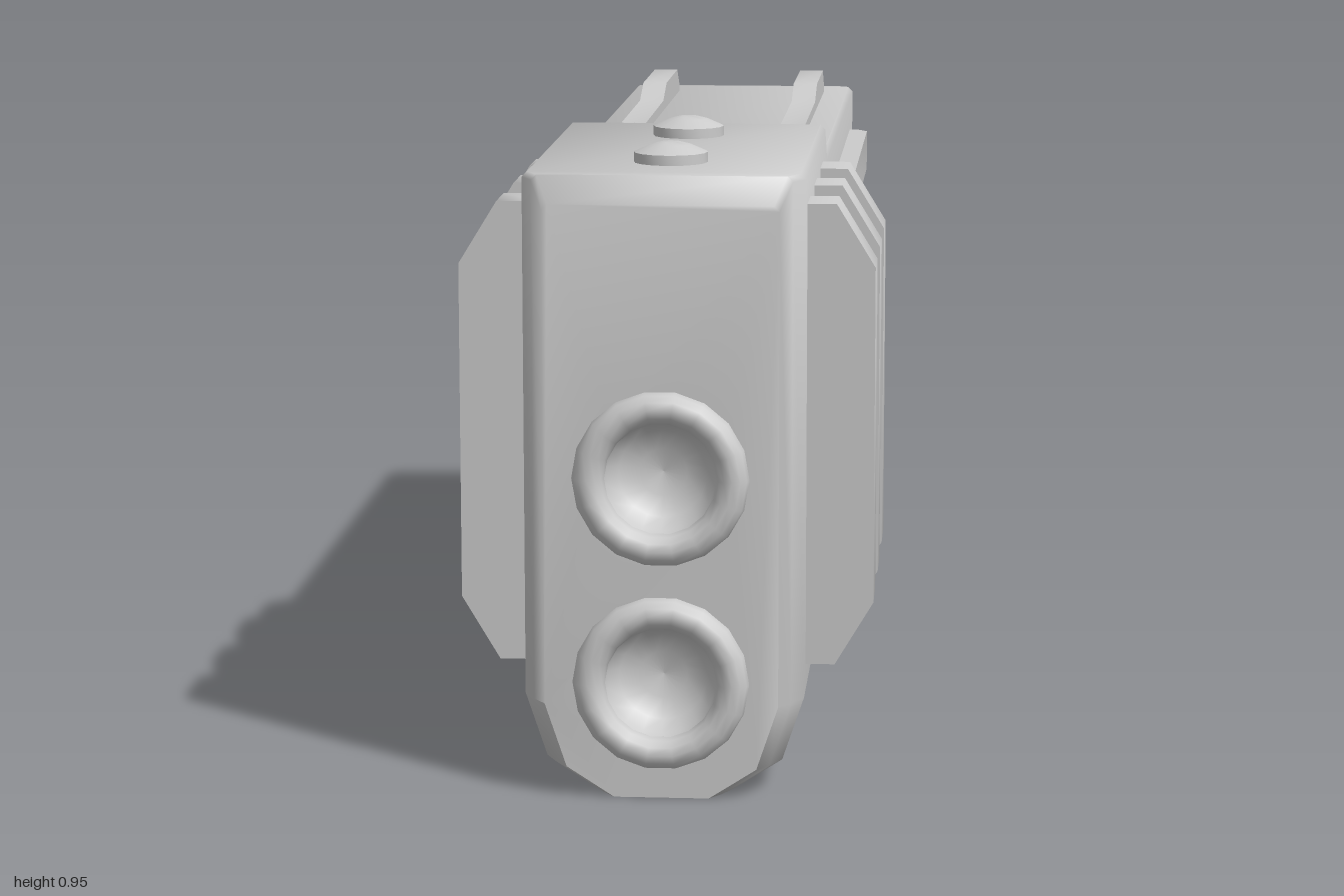
import * as THREE from 'three';
import { mergeGeometries, toCreasedNormals } from 'three/addons/utils/BufferGeometryUtils.js';

const material = new THREE.MeshStandardMaterial({ color: 0xcccccc });
const openMaterial = new THREE.MeshStandardMaterial({ color: 0xcccccc, side: THREE.DoubleSide });
const RING_HEIGHTS = [0.175, 0.48];

function addMesh(parent, name, geometry, mat = material) {
  const mesh = new THREE.Mesh(geometry, mat);
  mesh.name = name;
  parent.add(mesh);
  return mesh;
}

const toShape = (pts) => new THREE.Shape(pts.map(([x, y]) => new THREE.Vector2(x, y)));

// Extrude an outline, centred on its depth, with sharp edges kept
function slab(pts, depth, crease = 1.05) {
  const g = new THREE.ExtrudeGeometry(toShape(pts), { depth, bevelEnabled: false });
  g.translate(0, 0, -depth / 2);
  return toCreasedNormals(g, crease);
}

// Counterclockwise body cross-section of half-width w and height top
function section(w, top) {
  const half = [[w - 0.102, 0], [w - 0.032, 0.045], [w, 0.14], [w, top - 0.008], [w - 0.008, top]];
  return [...half, ...half.map(([x, y]) => [-x, y]).reverse()];
}

// Flat end with round openings for the sockets
function endCap(w, top) {
  const shape = toShape(section(w, top));
  for (const y of RING_HEIGHTS) {
    shape.holes.push(new THREE.Path().absarc(0, y, 0.1, 0, Math.PI * 2, true));
  }
  return new THREE.ShapeGeometry(shape, 8);
}

function bodyGeometry() {
  // [z, half-width, height] from back to front
  const stations = [
    [-0.96, 0.172, 0.82], [-0.935, 0.19, 0.855], [-0.905, 0.207, 0.857],
    [0.205, 0.207, 0.862], [0.28, 0.207, 0.92],
    [0.91, 0.207, 0.92], [0.945, 0.19, 0.92], [0.97, 0.172, 0.88],
  ];
  const positions = [], index = [];
  const n = section(0.2, 0.9).length;
  stations.forEach(([z, w, top], i) => {
    section(w, top).forEach(([x, y], j) => {
      positions.push(x, y, z);
      if (i === stations.length - 1) return;
      const a = i * n + j, b = i * n + (j + 1) % n;
      index.push(a, b, b + n, a, b + n, a + n);
    });
  });
  const skin = new THREE.BufferGeometry();
  skin.setAttribute('position', new THREE.Float32BufferAttribute(positions, 3));
  skin.setIndex(index);
  skin.computeVertexNormals();
  const front = endCap(0.172, 0.88).translate(0, 0, 0.97);
  const back = endCap(0.172, 0.82).rotateY(Math.PI).translate(0, 0, -0.96);
  const parts = [skin, front, back].map((g) => {
    g.deleteAttribute('uv');
    return g.toNonIndexed();
  });
  return toCreasedNormals(mergeGeometries(parts), 0.95);
}

// Rounded rim around a shallow bowl, opening towards +z
function socket() {
  const group = new THREE.Group();
  group.name = 'socket';
  addMesh(group, 'socketRim', new THREE.TorusGeometry(0.106, 0.024, 12, 18));
  const bowl = [[0, -0.06], [0.035, -0.055], [0.065, -0.04], [0.08, -0.015], [0.085, 0]];
  const g = new THREE.LatheGeometry(bowl.map(([r, y]) => new THREE.Vector2(r, y)), 18);
  addMesh(group, 'socketBowl', g.rotateX(Math.PI / 2), openMaterial);
  return group;
}

export function createModel() {
  const model = new THREE.Group();
  model.name = 'model';
  addMesh(model, 'body', bodyGeometry());

  // Two sockets on each end
  for (const end of [1, -1]) {
    for (const y of RING_HEIGHTS) {
      const s = socket();
      s.position.set(0, y, end * 0.976);
      if (end < 0) s.rotation.y = Math.PI;
      model.add(s);
    }
  }

  const rib = slab([[0.19, 0.18], [0.25, 0.18], [0.307, 0.275], [0.307, 0.777], [0.25, 0.87], [0.19, 0.87]], 0.09);
  // Side rail outline in plan, laid flat so its length runs along z
  const sideRail = slab([[0.19, -0.27], [0.223, -0.27], [0.24, -0.245], [0.24, 0.755], [0.223, 0.78], [0.19, 0.78]], 0.07)
    .rotateX(-Math.PI / 2);
  // Top rail profile, raised at both ends; shape x becomes z
  const topRail = slab([
    [-0.81, 0.84], [0.25, 0.84], [0.25, 0.902], [0.12, 0.902], [0.05, 0.877],
    [-0.45, 0.877], [-0.52, 0.902], [-0.76, 0.902], [-0.81, 0.87],
  ], 0.042).rotateY(-Math.PI / 2);

  for (const side of [1, -1]) {
    const turn = side > 0 ? 0 : Math.PI;
    for (const z of [0.405, 0.61, 0.82]) {
      const m = addMesh(model, 'sideRib', rib);
      m.position.z = z;
      m.rotation.y = turn;
    }
    // Rotating about z mirrors the rail across x and keeps its z range
    const rail = addMesh(model, 'sideRail', sideRail);
    rail.position.y = 0.755;
    rail.rotation.z = turn;
    addMesh(model, 'topRail', topRail).position.x = side * 0.136;
  }

  // Buttons on the raised deck
  const profile = [[0.055, 0.91], [0.055, 0.935], [0.03, 0.946], [0.014, 0.95], [0, 0.95]];
  const button = toCreasedNormals(
    new THREE.LatheGeometry(profile.map(([r, y]) => new THREE.Vector2(r, y)), 16), 0.9);
  for (const z of [0.44, 0.78]) addMesh(model, 'button', button).position.z = z;

  return model;
}
